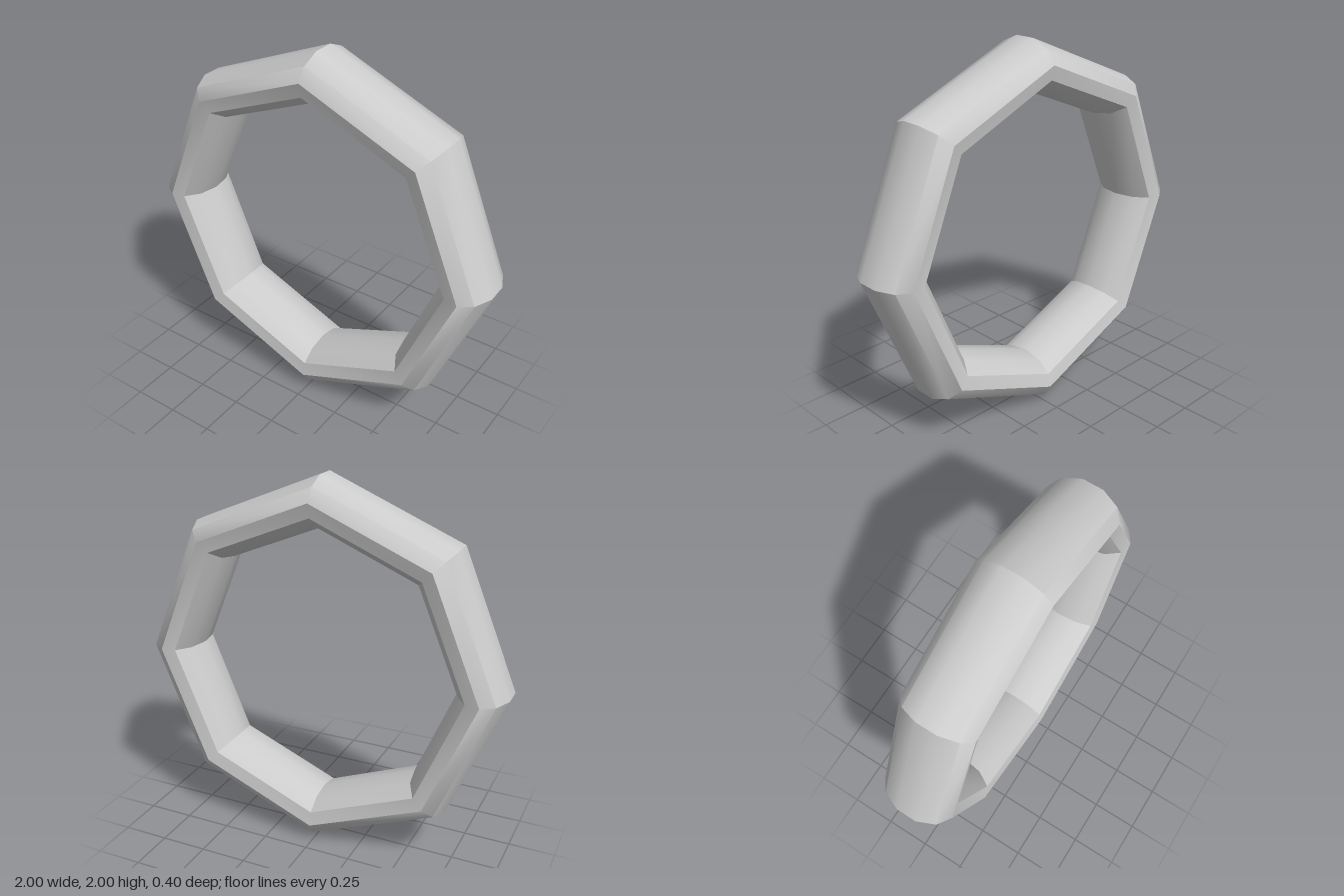
import * as THREE from 'three';
import { toCreasedNormals } from 'three/addons/utils/BufferGeometryUtils.js';

const SIDES = 8;            // straight segments around the ring
const PROFILE_SIDES = 11;   // sides of the oval cross-section
const CENTRE_RADIUS = 0.871;
const HALF_THICKNESS = 0.135;
const HALF_DEPTH = 0.202;

export function createModel() {
  const group = new THREE.Group();
  group.name = 'octagonalRing';

  // Oval cross-section: flat on the outside, a vertex on the inside
  const profile = [];
  for (let i = 0; i <= PROFILE_SIDES; i++) {
    const a = ((i + 0.5) / PROFILE_SIDES) * Math.PI * 2;
    profile.push(new THREE.Vector2(
      CENTRE_RADIUS + HALF_THICKNESS * Math.cos(a),
      HALF_DEPTH * Math.sin(a)
    ));
  }

  // Sweep around the axis, then stand the ring upright on one corner
  const swept = new THREE.LatheGeometry(profile, SIDES);
  swept.rotateX(Math.PI / 2);
  const geometry = toCreasedNormals(swept, THREE.MathUtils.degToRad(36));

  const ring = new THREE.Mesh(geometry, new THREE.MeshStandardMaterial({ color: 0xcccccc }));
  ring.name = 'ring';
  ring.position.y = 1;
  group.add(ring);
  return group;
}
